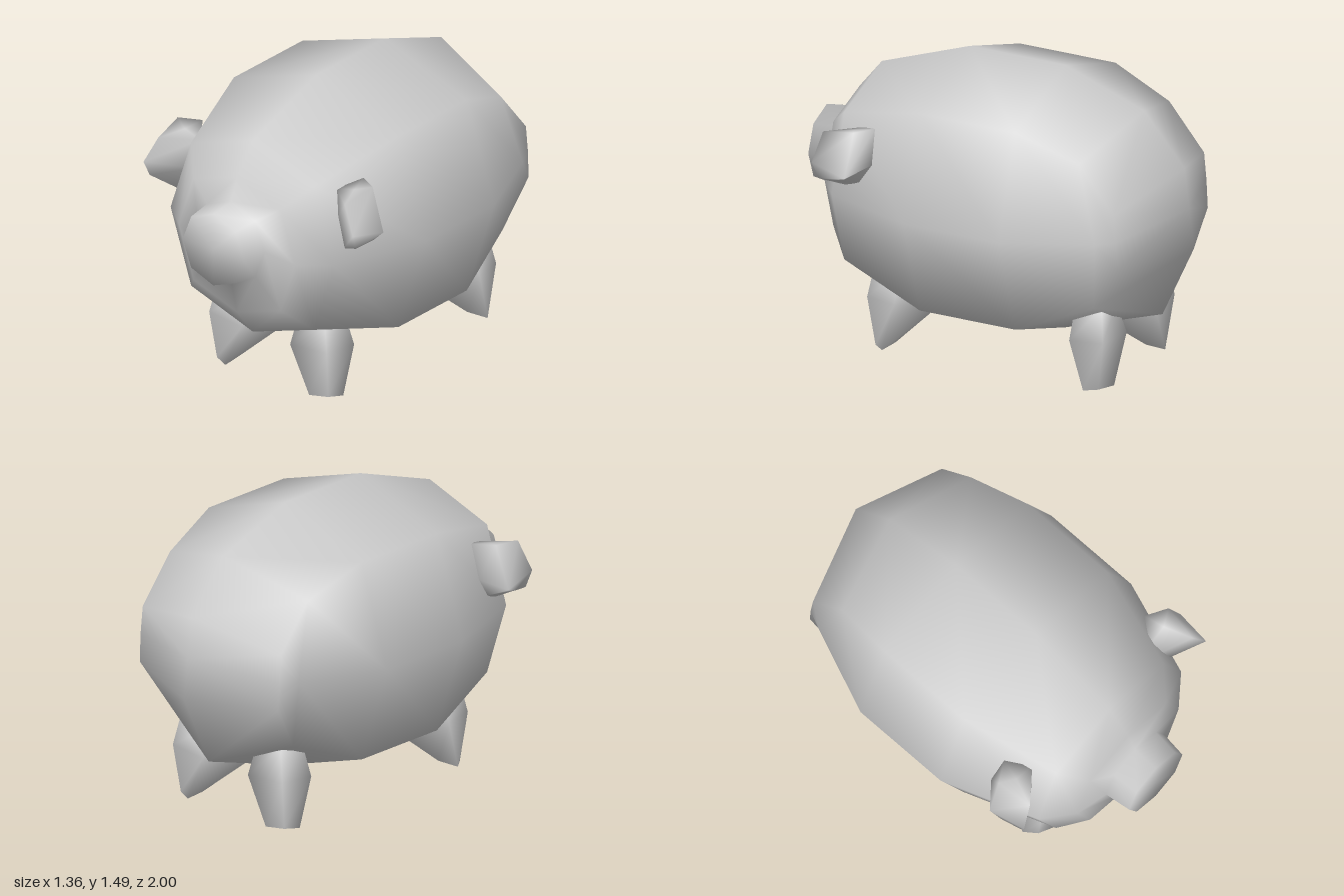
import * as THREE from 'three';

const material = new THREE.MeshStandardMaterial({ color: 0xcccccc });

const middle = (ring) =>
  [0, 1, 2].map((d) => ring.reduce((s, p) => s + p[d], 0) / ring.length);

// Smooth skin over a list of rings, with a fan closing both ends.
// Rings run counter-clockwise about the direction in which they advance.
function loft(name, rings, startTip = middle(rings[0])) {
  const n = rings[0].length;
  const last = (rings.length - 1) * n;
  const pos = [...rings.flat(), startTip, middle(rings.at(-1))];
  const idx = [];
  for (let i = 0; i < last; i += n) {
    for (let j = 0; j < n; j++) {
      const a = i + j, b = i + (j + 1) % n;
      idx.push(a, b, b + n, a, b + n, a + n);
    }
  }
  for (let j = 0; j < n; j++) {
    const k = (j + 1) % n;
    idx.push(last + n, k, j, last + n + 1, last + j, last + k);
  }
  const geo = new THREE.BufferGeometry();
  geo.setAttribute('position', new THREE.Float32BufferAttribute(pos.flat(), 3));
  geo.setIndex(idx);
  geo.computeVertexNormals();
  const mesh = new THREE.Mesh(geo, material);
  mesh.name = name;
  return mesh;
}

// Reflect rings across x = 0, keeping the faces outward
const mirror = (rings) =>
  rings.map((r) => r.map(([x, y, z]) => [-x, y, z]).reverse());

// Eight-sided upright ring; k widens the diagonal corners
function ring(z, r, y = 0.81, k = 0.75) {
  const d = r * k;
  return [[r, 0], [d, d], [0, r], [-d, d], [-r, 0], [-d, -d], [0, -r], [d, -d]]
    .map(([px, py]) => [px, y + py, z]);
}

// Symmetric eight-sided ring from its top, upper, side, lower and bottom corners
function halfRing(top, upper, side, lower, bottom) {
  const m = ([x, y, z]) => [-x, y, z];
  return [side, upper, top, m(upper), m(side), m(lower), bottom, lower];
}

export function createModel() {
  const group = new THREE.Group();
  group.name = 'pig';

  // Barrel body, rump to snout
  group.add(loft('bodyWithSnout', [
    halfRing([0, 1.08, -0.95], [0.46, 0.97, -0.81], [0.465, 0.83, -0.82],
      [0.46, 0.69, -0.83], [0, 0.67, -1.0]),
    halfRing([0, 1.335, -0.73], [0.46, 1.2, -0.62], [0.505, 0.82, -0.73],
      [0.42, 0.45, -0.68], [0, 0.3, -0.83]),
    ring(-0.3, 0.68),
    ring(0.22, 0.68),
    ring(0.7, 0.51),
    ring(0.82, 0.36),
    ring(0.865, 0.207, 0.85, 0.72),
    ring(1.0, 0.19, 0.85, 0.72),
  ], [0, 0.875, -0.975]));

  // Ears, top to bottom
  const ear = [
    [[0.42, 1.15, 0.58], [0.5, 1.19, 0.47], [0.605, 1.195, 0.53], [0.58, 1.16, 0.71]],
    [[0.44, 1.0, 0.6], [0.57, 1.03, 0.45], [0.68, 0.98, 0.54], [0.65, 1.02, 0.735]],
    [[0.5, 0.87, 0.62], [0.55, 0.92, 0.53], [0.67, 0.96, 0.6], [0.64, 0.94, 0.7]],
  ];
  group.add(loft('leftEar', ear), loft('rightEar', mirror(ear)));

  // Four-sided legs, foot to hip, flaring inward under the belly.
  // Corners: outer front, outer rear, inner rear, inner front.
  const frontLeg = [
    [[0.345, 0, 0.55], [0.39, 0, 0.49], [0.27, 0, 0.48], [0.26, 0, 0.59]],
    [[0.365, 0.25, 0.585], [0.4, 0.25, 0.42], [0.11, 0.16, 0.33], [0.15, 0.24, 0.6]],
    [[0.33, 0.42, 0.56], [0.34, 0.4, 0.42], [0.12, 0.3, 0.35], [0.16, 0.38, 0.55]],
  ];
  // Back legs are the front ones turned to face the rump
  const backLeg = frontLeg.map((r) =>
    r.map(([x, y, z]) => [x, y, -z - 0.115]).reverse());
  group.add(loft('frontLeftLeg', frontLeg), loft('frontRightLeg', mirror(frontLeg)));
  group.add(loft('backLeftLeg', backLeg), loft('backRightLeg', mirror(backLeg)));

  return group;
}
